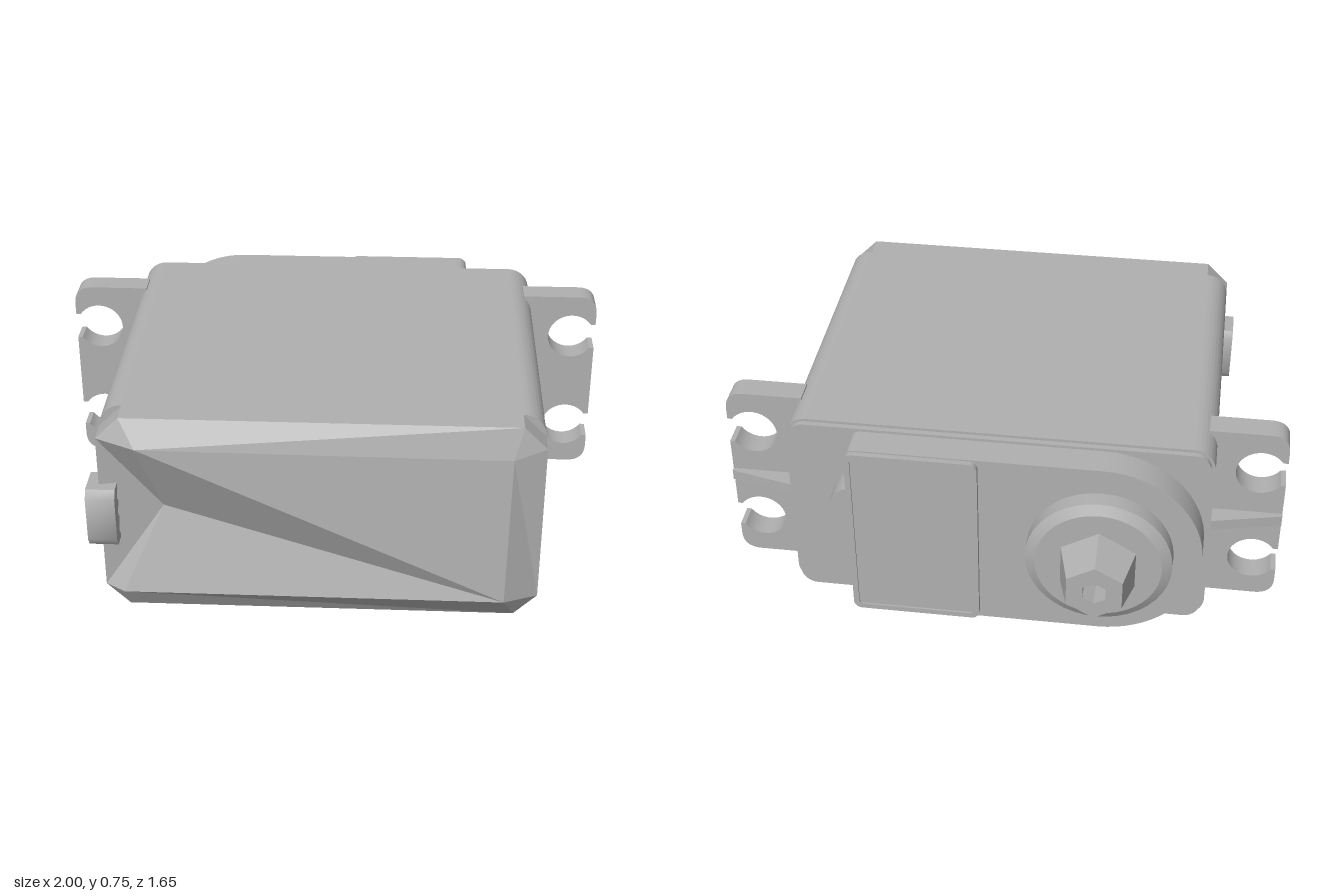
import * as THREE from 'three';
import { toCreasedNormals } from 'three/addons/utils/BufferGeometryUtils.js';

const MID = 0.375; // height of the centre line
const SHAFT_X = -0.375;

export function createModel() {
  const model = new THREE.Group();
  model.name = 'servoMotor';
  const grey = new THREE.MeshStandardMaterial({ color: 0xb0b0b0 });
  grey.name = 'grey plastic';

  const add = (name, geo, crease = 0.6) => {
    const mesh = new THREE.Mesh(toCreasedNormals(geo, crease), grey);
    mesh.name = name;
    model.add(mesh);
    return mesh;
  };
  const extrude = (shape, depth) =>
    new THREE.ExtrudeGeometry(shape, { depth, bevelEnabled: false, curveSegments: 16 });
  const roundRect = (x0, x1, y0, y1, r) => {
    const s = new THREE.Shape();
    s.absarc(x1 - r, y0 + r, r, -Math.PI / 2, 0);
    s.absarc(x1 - r, y1 - r, r, 0, Math.PI / 2);
    s.absarc(x0 + r, y1 - r, r, Math.PI / 2, Math.PI);
    s.absarc(x0 + r, y0 + r, r, Math.PI, Math.PI * 1.5);
    s.closePath();
    return s;
  };

  // Main case and the narrower lip behind it
  add('case', extrude(roundRect(-0.75, 0.75, 0, 0.75, 0.08), 1.14).translate(0, 0, -0.48));
  add('caseLip', extrude(roundRect(-0.735, 0.735, 0.01, 0.74, 0.06), 0.03).translate(0, 0, -0.5));

  // Faceted end cap: short skirt, chamfered corners and a sunken point
  const ring = [[0.75, 0.08], [0.75, 0.67], [0.67, 0.75], [-0.67, 0.75],
    [-0.75, 0.67], [-0.75, 0.08], [-0.67, 0], [0.67, 0]];
  const points = [
    ...ring.map(([x, y]) => [x, y, 0.745]),
    [-0.61, 0.67, 0.815], [0.64, 0.64, 0.775], [0.63, 0.1, 0.82],
    [-0.68, 0.08, 0.79], [-0.54, 0.385, 0.7],
    ...ring.map(([x, y]) => [x, y, 0.65]),
  ];
  const faces = [
    1, 2, 9, 2, 3, 8, 2, 8, 9, 3, 4, 8, 4, 5, 12, 5, 11, 12, 4, 12, 8, 5, 6, 11, 6, 7, 11,
    7, 10, 11, 7, 0, 10, 0, 1, 9, 0, 9, 10, 8, 10, 9, 8, 12, 10, 11, 10, 12,
  ];
  for (let i = 0; i < 8; i++) {
    const j = (i + 1) % 8;
    faces.push(13 + i, 13 + j, j, 13 + i, j, i);
  }
  const cap = new THREE.BufferGeometry();
  cap.setAttribute('position', new THREE.Float32BufferAttribute(points.flat(), 3));
  cap.setIndex(faces);
  add('endCap', cap, 0.05);

  // Mounting ears with two open screw slots and a stiffening rib each
  const ear = new THREE.Shape();
  const a = Math.asin(0.05 / 0.088);
  ear.moveTo(0.72, -0.36);
  ear.lineTo(0.93, -0.36);
  ear.quadraticCurveTo(1, -0.36, 1, -0.29);
  for (const y of [-0.195, 0.195]) {
    ear.lineTo(1, y - 0.05);
    ear.absarc(0.91, y, 0.088, -a, a, true);
    ear.lineTo(1, y + 0.05);
  }
  ear.lineTo(1, 0.29);
  ear.quadraticCurveTo(1, 0.36, 0.93, 0.36);
  ear.lineTo(0.72, 0.36);
  const rib = new THREE.Shape([[0.72, 0.34], [1, 0.34], [1, 0.365], [0.72, 0.43]]
    .map(([x, y]) => new THREE.Vector2(x, y)));
  for (const [side, turn] of [['left', 0], ['right', Math.PI]]) {
    add(side + 'Ear', extrude(ear, 0.09).translate(0, 0, -0.35).rotateZ(turn).translate(0, 0.38, 0));
    add(side + 'EarRib', extrude(rib, 0.04).translate(0, 0, -0.02).rotateX(-Math.PI / 2)
      .translate(0, 0, 0).rotateZ(turn).translate(0, 0.38, 0));
  }

  // Gear cover, rounded around the shaft
  const cover = new THREE.Shape();
  cover.moveTo(SHAFT_X, 0.02);
  cover.lineTo(0.47, 0.02);
  cover.quadraticCurveTo(0.51, 0.02, 0.51, 0.06);
  cover.lineTo(0.51, 0.69);
  cover.quadraticCurveTo(0.51, 0.73, 0.47, 0.73);
  cover.lineTo(SHAFT_X, 0.73);
  cover.absarc(SHAFT_X, MID, 0.355, Math.PI / 2, Math.PI * 1.5);
  add('gearCover', extrude(cover, 0.12).translate(0, 0, -0.61));

  // Curved bulge at the end of the cover
  const bulge = new THREE.Shape();
  bulge.moveTo(0.45, 0.2);
  bulge.lineTo(0.51, 0.2);
  bulge.absellipse(0.51, MID, 0.09, 0.175, -Math.PI / 2, Math.PI / 2);
  bulge.lineTo(0.45, 0.55);
  add('coverBulge', extrude(bulge, 0.11).translate(0, 0, -0.6));

  // Raised panel with a thin rim
  const rim = roundRect(0.05, 0.51, 0.025, 0.725, 0.03);
  rim.holes.push(roundRect(0.07, 0.49, 0.045, 0.705, 0.015));
  add('panelRim', extrude(rim, 0.03).translate(0, 0, -0.63));
  add('panel', new THREE.BoxGeometry(0.43, 0.67, 0.03).translate(0.28, MID, -0.608));

  // Output boss and tapered shaft
  const turned = (pts, sides) => new THREE.LatheGeometry(
    pts.map(([r, y]) => new THREE.Vector2(r, y)), sides).rotateX(-Math.PI / 2);
  add('outputBoss', turned([[0.255, 0], [0.255, 0.065], [0.22, 0.085], [0, 0.085]], 40)
    .translate(SHAFT_X, 0.38, -0.605), 0.4);
  add('outputShaft', turned([[0.15, 0], [0.11, 0.14], [0.045, 0.14], [0.045, 0.05], [0, 0.05]], 6)
    .translate(SHAFT_X, 0.375, -0.687), 0.1);

  // Cable outlet with three wire holes
  const outlet = new THREE.Shape([[0.67, 0.27], [0.78, 0.27], [0.8, 0.3], [0.8, 0.46],
    [0.78, 0.49], [0.67, 0.49], [0.65, 0.46], [0.65, 0.3]].map(([z, y]) => new THREE.Vector2(z, y)));
  for (const y of [0.315, 0.38, 0.445]) {
    outlet.holes.push(new THREE.Path().absarc(0.725, y, 0.024, 0, Math.PI * 2, true));
  }
  add('cableOutlet', extrude(outlet, 0.1).rotateY(-Math.PI / 2).translate(-0.69, 0, 0));

  return model;
}
